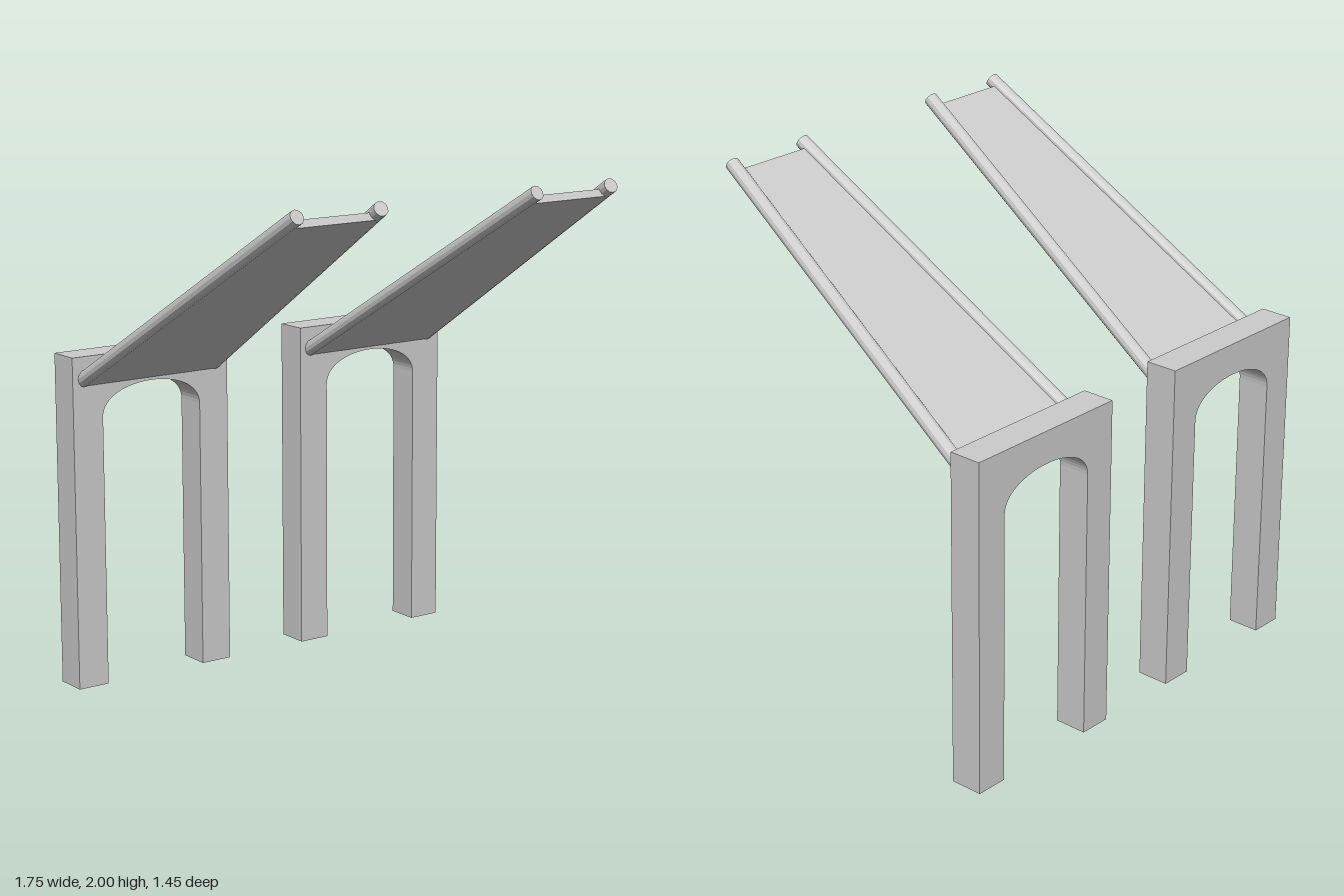
import * as THREE from 'three';

const material = new THREE.MeshStandardMaterial({ color: 0xcccccc, flatShading: true });

function addMesh(parent, name, geometry) {
  const mesh = new THREE.Mesh(geometry, material);
  mesh.name = name;
  parent.add(mesh);
  return mesh;
}

// Two-legged frame with a rounded opening
function archGeometry() {
  const w = 0.35, inner = 0.22, spring = 1.06;
  const shape = new THREE.Shape();
  shape.moveTo(-w, 0);
  shape.lineTo(-inner, 0);
  shape.lineTo(-inner, spring);
  shape.bezierCurveTo(-inner, 1.22, inner, 1.22, inner, spring);
  shape.lineTo(inner, 0);
  shape.lineTo(w, 0);
  shape.lineTo(w, 1.305);
  shape.lineTo(-w, 1.305);
  shape.closePath();
  return new THREE.ExtrudeGeometry(shape, { depth: 0.13, bevelEnabled: false, curveSegments: 32 });
}

// Tapered sloping board; y runs up the slope
function boardGeometry(railX) {
  const start = -0.04, end = 1.47;
  const shape = new THREE.Shape([
    new THREE.Vector2(railX(0, start), start),
    new THREE.Vector2(railX(1, start), start),
    new THREE.Vector2(railX(1, end), end),
    new THREE.Vector2(railX(0, end), end),
  ]);
  return new THREE.ExtrudeGeometry(shape, { depth: 0.03, bevelEnabled: false });
}

// Round rail between two points
function addRail(parent, name, a, b) {
  const dir = b.clone().sub(a);
  const rail = addMesh(parent, name, new THREE.CylinderGeometry(0.028, 0.028, dir.length(), 12));
  rail.position.copy(a).add(b).multiplyScalar(0.5);
  rail.quaternion.setFromUnitVectors(new THREE.Vector3(0, 1, 0), dir.normalize());
}

export function createModel() {
  const model = new THREE.Group();
  const slopeLength = 1.51;
  const rails = [[-0.298, -0.24], [0.292, 0.113]]; // x at the arch, x at the tip
  const railX = (i, s) => THREE.MathUtils.lerp(rails[i][0], rails[i][1], s / slopeLength);

  for (const [side, x] of [['right', -0.527], ['left', 0.527]]) {
    const unit = new THREE.Group();
    unit.name = side + 'Unit';
    unit.position.x = x;
    model.add(unit);

    addMesh(unit, 'arch', archGeometry()).position.z = -0.727;

    // Board and rails rise towards the front at 30 degrees
    const ramp = new THREE.Group();
    ramp.name = 'ramp';
    ramp.position.set(0, 1.22, -0.597);
    ramp.rotation.x = Math.PI / 3;
    unit.add(ramp);
    addMesh(ramp, 'board', boardGeometry(railX)).position.z = -0.005;
    ['rightRail', 'leftRail'].forEach((name, i) => addRail(ramp, name,
      new THREE.Vector3(railX(i, -0.04), -0.04, 0),
      new THREE.Vector3(railX(i, slopeLength), slopeLength, 0)));
  }
  return model;
}
